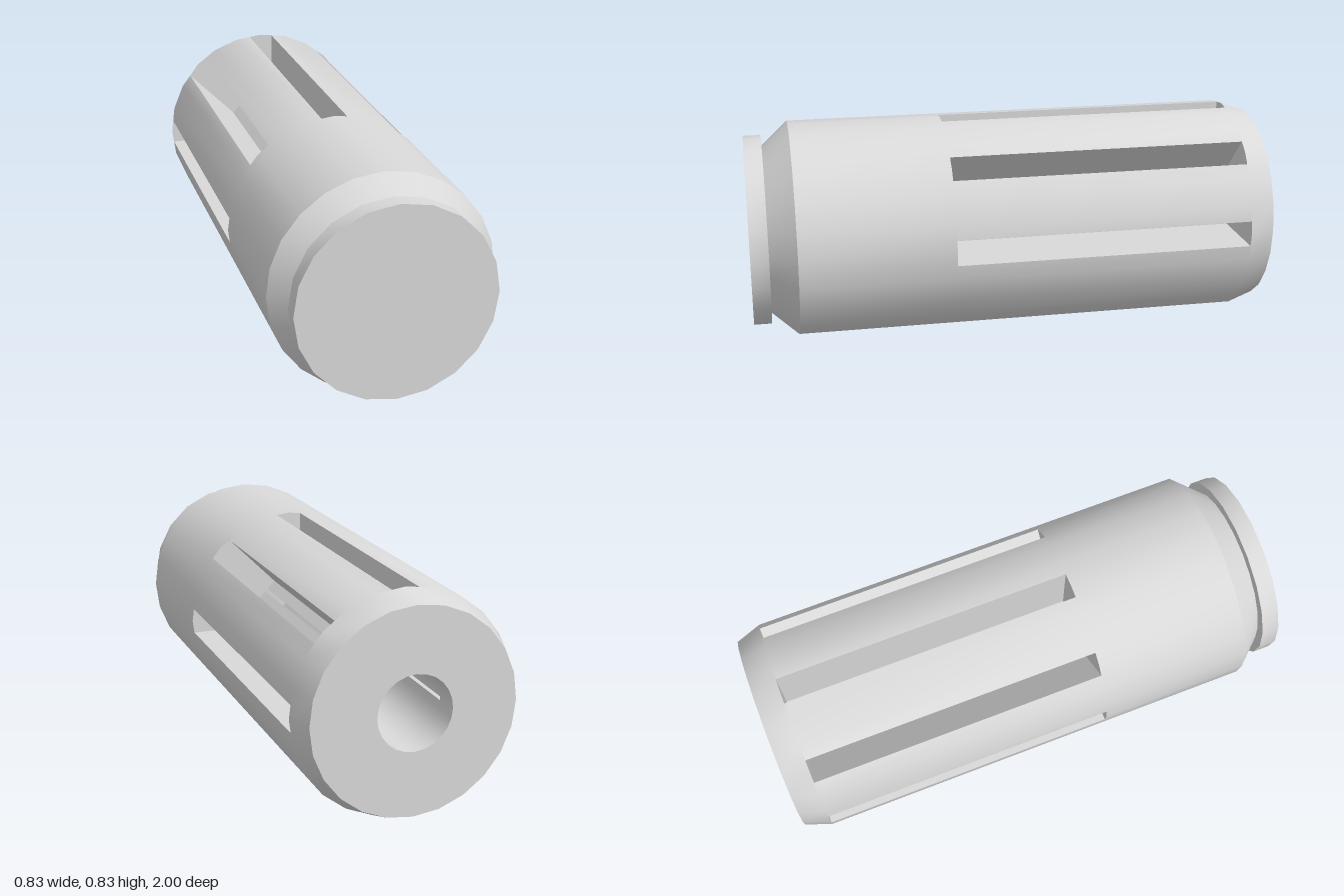
import * as THREE from 'three';
import { mergeGeometries, toCreasedNormals } from 'three/addons/utils/BufferGeometryUtils.js';

const R = 0.417;          // outer radius
const BORE = 0.14;        // bore radius
const STEP = Math.PI / 12; // 24-sided rounds
const SLOT_BACK = -0.9, SLOT_FRONT = 0.245;
const CREASE = 0.5;

// Solid of revolution around z from [radius, z] pairs
function turned(profile, sides) {
  const g = new THREE.LatheGeometry(profile.map(([r, z]) => new THREE.Vector2(r, z)), sides);
  return g.rotateX(Math.PI / 2).toNonIndexed();
}

// Point given along (radial) and across (tangential) the direction at an angle
function at(angle, along, across) {
  const c = Math.cos(angle), s = Math.sin(angle);
  return new THREE.Vector2(along * c - across * s, along * s + across * c);
}

// Wall between two slots: outer arc, slot walls, slot floors and bore arc
function sector(a0, a1) {
  const half = 0.05, slit = 0.007, k = Math.tan(STEP / 2);
  const outer = R - half * k, floor = BORE - slit * k;
  const n = Math.round((a1 - a0) / STEP);
  const pts = [at(a0, floor, slit), at(a0, floor, half), at(a0, outer, half)];
  for (let i = 1; i < n; i++) pts.push(at(a0 + i * STEP, R, 0));
  pts.push(at(a1, outer, -half), at(a1, floor, -half), at(a1, floor, -slit));
  for (let i = n - 1; i > 0; i--) pts.push(at(a0 + i * STEP, BORE, 0));
  const g = new THREE.ExtrudeGeometry(new THREE.Shape(pts), {
    depth: SLOT_FRONT - SLOT_BACK, bevelEnabled: false,
  });
  return g.translate(0, 0, SLOT_BACK);
}

export function createModel() {
  const group = new THREE.Group();
  const steel = new THREE.MeshStandardMaterial({ color: 0xd9d9d9 });
  steel.name = 'light grey steel';

  const add = (name, geometry) => {
    const mesh = new THREE.Mesh(toCreasedNormals(geometry, CREASE), steel);
    mesh.name = name;
    mesh.position.y = R;
    group.add(mesh);
  };

  // Chamfered back ring around the bore
  const backRing = turned([[BORE, -1], [0.382, -1], [R, SLOT_BACK], [BORE, SLOT_BACK], [BORE, -1]], 24);

  // Front half with a blind bore and a tapered shoulder
  const frontBody = turned([
    [0, 0.6], [BORE, 0.6], [BORE, SLOT_FRONT], [R, SLOT_FRONT],
    [R, 0.83], [0.325, 0.932], [0, 0.932],
  ], 24);

  // Five slots over the upper half, solid below
  const walls = [];
  for (let i = 0; i < 4; i++) walls.push(sector(i * Math.PI / 4, (i + 1) * Math.PI / 4));
  walls.push(sector(Math.PI, 2 * Math.PI));

  add('slottedBody', mergeGeometries([backRing, frontBody, ...walls]));

  // Rim disc on the front end
  add('endCap', turned([[0, 0.932], [0.367, 0.932], [0.367, 1], [0, 1]], 20));

  return group;
}
